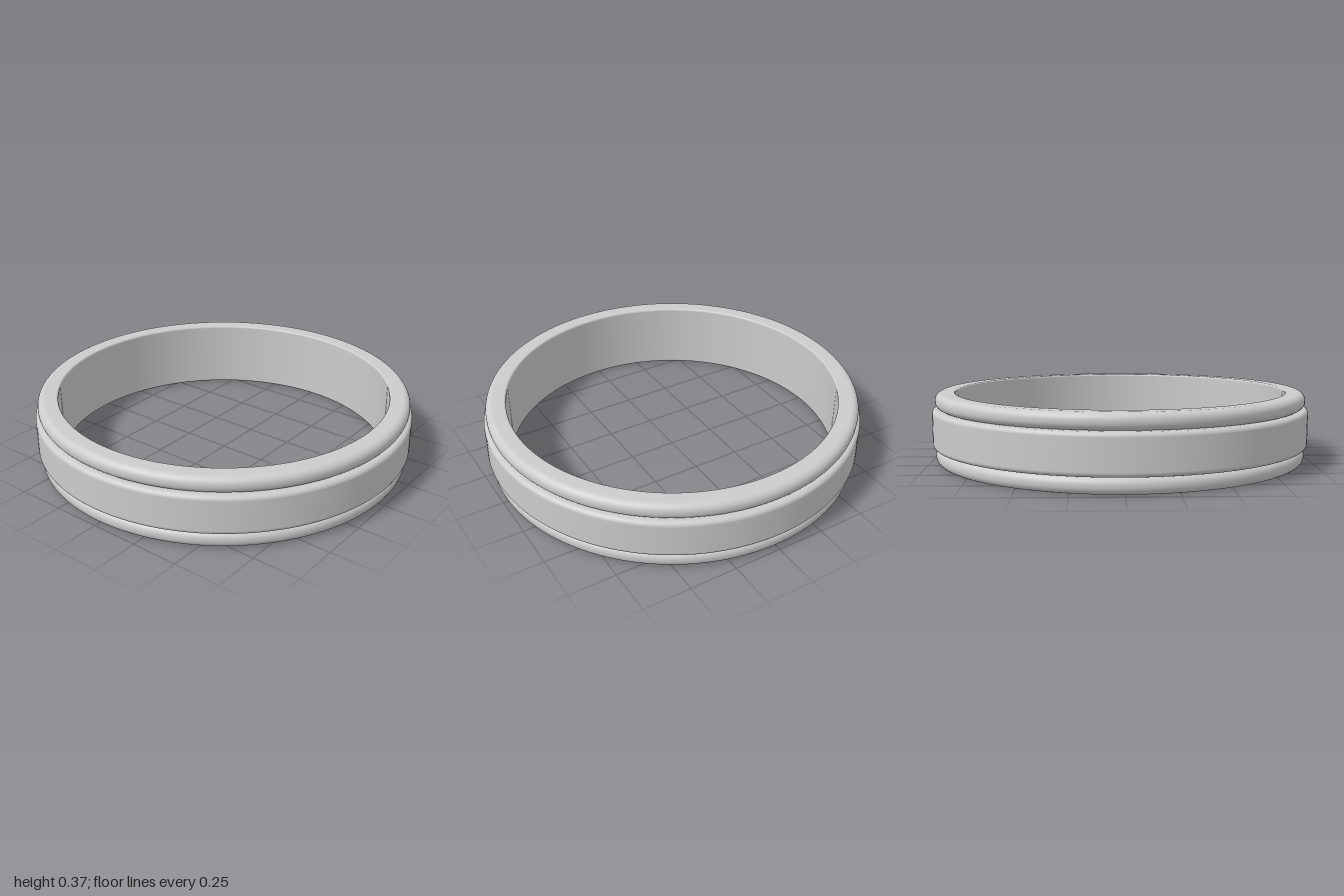
import * as THREE from 'three';

const HEIGHT = 0.37, GROOVE = 0.083, INNER = 0.877, SEGMENTS = 160;
const material = new THREE.MeshStandardMaterial({ color: 0xcccccc });

// Revolve a profile; points run anticlockwise around the solid section
function revolve(name, points) {
  const mesh = new THREE.Mesh(new THREE.LatheGeometry(points, SEGMENTS), material);
  mesh.name = name;
  return mesh;
}

// Points of a rounded corner around (x, y), angles in quarter turns
function corner(x, y, r, from, steps = 8) {
  return Array.from({ length: steps + 1 }, (_, i) => {
    const a = (from + i / steps) * Math.PI / 2;
    return new THREE.Vector2(x + r * Math.cos(a), y + r * Math.sin(a));
  });
}

const flip = (points) => points.map((p) => new THREE.Vector2(p.x, HEIGHT - p.y)).reverse();

export function createModel() {
  const group = new THREE.Group();
  group.name = 'ring';

  // Rounded rims, mirrored top and bottom
  const edge = 0.01, r = 0.038, rimOuter = 0.984;
  const rim = [
    ...corner(INNER + edge, edge, edge, 2, 4),
    ...corner(rimOuter - r, r, r, 3),
    ...corner(rimOuter - r, GROOVE - r, r, 0),
  ];
  group.add(revolve('lowerRim', rim), revolve('upperRim', flip(rim)));

  // Wider middle band with softened edges, meeting the rims in the grooves
  const b = 0.024, base = rimOuter - r;
  group.add(revolve('middleBand', [
    new THREE.Vector2(base, GROOVE),
    ...corner(1 - b, GROOVE + b, b, 3),
    ...corner(1 - b, HEIGHT - GROOVE - b, b, 0),
    new THREE.Vector2(base, HEIGHT - GROOVE),
  ]));

  // Smooth inner wall
  group.add(revolve('innerWall', [
    new THREE.Vector2(INNER, HEIGHT - edge),
    new THREE.Vector2(INNER, edge),
  ]));
  return group;
}
